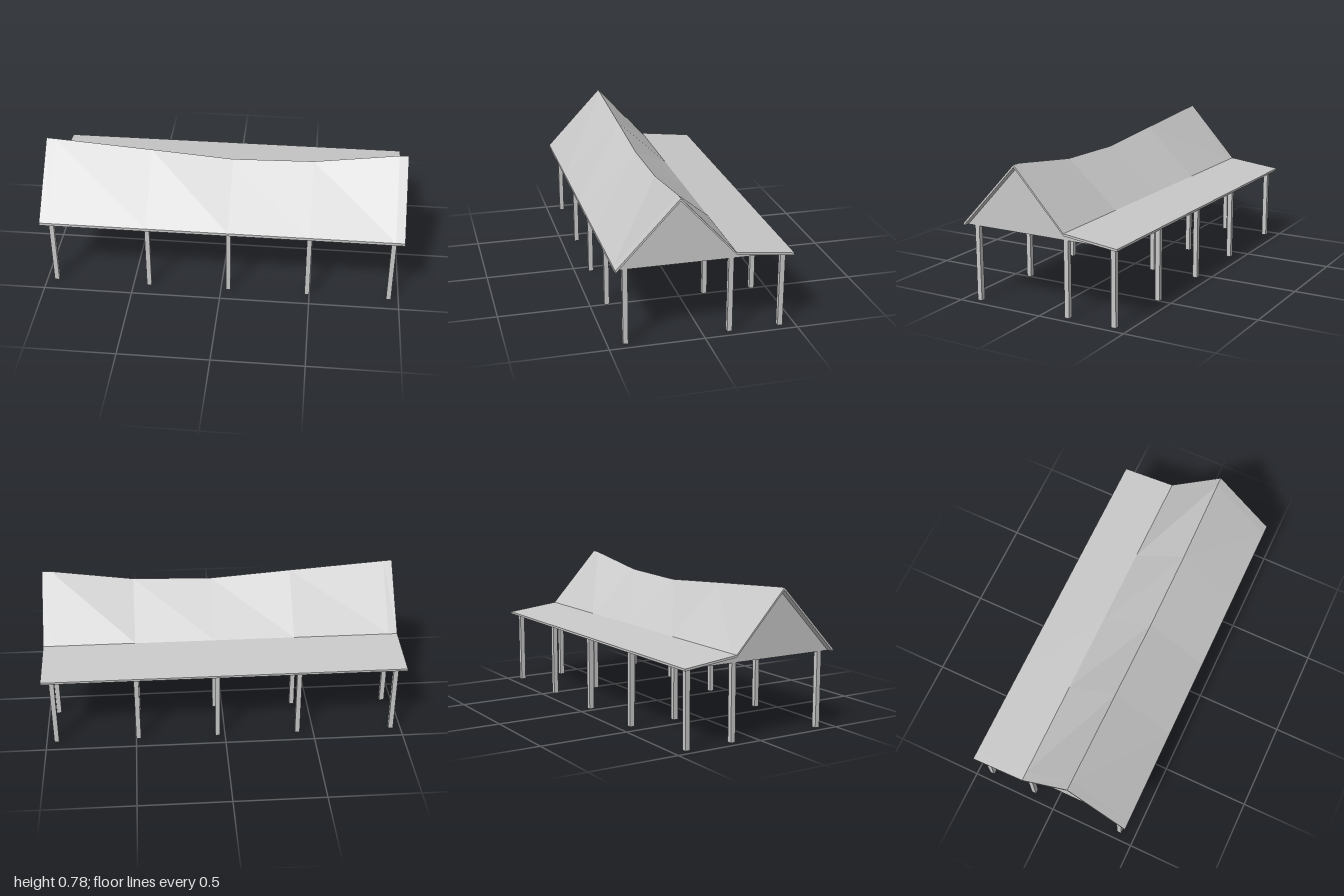
import * as THREE from 'three';

const POST = 0.027;
const POST_X = [-0.945, -0.41, 0.042, 0.487, 0.945];

// Sagging ridge: [x, ridge height]
const STATIONS = [[-1, 0.778], [-0.95, 0.775], [-0.41, 0.735], [0.042, 0.70], [0.487, 0.712], [0.95, 0.777], [1, 0.778]];

// Closed roof section, front eave over the ridge to the back eave, then back underneath
function roofSection([x, h]) {
  return [
    [0.464, 0.43], [0.135, h], [-0.157, 0.461], [-0.464, 0.426],
    [-0.464, 0.414], [-0.157, 0.449], [0.135, h - 0.014], [0.464, 0.414],
  ].map(([z, y]) => [x, y, z]);
}

function roofGeometry() {
  const sections = STATIONS.map(roofSection);
  const pos = [];
  const tri = (a, b, c) => pos.push(...a, ...b, ...c);
  for (let s = 0; s < sections.length - 1; s++) {
    const a = sections[s], b = sections[s + 1];
    for (let i = 0; i < 8; i++) {
      const j = (i + 1) % 8;
      if (i < 4) {
        tri(a[i], b[i], a[j]);
        tri(b[i], b[j], a[j]);
      } else { // underside folds along the same diagonal as the top
        tri(a[i], b[i], b[j]);
        tri(a[i], b[j], a[j]);
      }
    }
  }
  // End edges of the roof
  const left = sections[sections.length - 1], right = sections[0];
  for (let i = 0; i < 3; i++) {
    tri(left[i], left[7 - i], left[6 - i]);
    tri(left[i], left[6 - i], left[i + 1]);
    tri(right[i], right[6 - i], right[7 - i]);
    tri(right[i], right[i + 1], right[6 - i]);
  }
  const g = new THREE.BufferGeometry();
  g.setAttribute('position', new THREE.Float32BufferAttribute(pos, 3));
  g.computeVertexNormals();
  return g;
}

export function createModel() {
  const group = new THREE.Group();
  const grey = new THREE.MeshStandardMaterial({ color: 0xc8c8c8 });
  grey.name = 'grey';

  const add = (name, geometry, x = 0, y = 0, z = 0) => {
    const mesh = new THREE.Mesh(geometry, grey);
    mesh.name = name;
    mesh.position.set(x, y, z);
    group.add(mesh);
    return mesh;
  };

  add('roof', roofGeometry());

  // Three rows of posts
  const rows = [['frontPost', 0.407, 0.43], ['middlePost', -0.1435, 0.44], ['backPost', -0.4185, 0.417]];
  for (const [name, z, height] of rows) {
    for (const x of POST_X) add(name, new THREE.BoxGeometry(POST, height, POST), x, height / 2, z);
  }

  // Tie beams between the inner front and middle posts
  for (const x of POST_X.slice(1, -1)) {
    add('tieBeam', new THREE.BoxGeometry(0.02, 0.015, 0.55), x, 0.4075, 0.132);
  }

  // Flat board under the front eave
  add('eaveBoard', new THREE.BoxGeometry(1.88, 0.006, 0.04), 0, 0.417, 0.44);

  // Rafter pair at the lowest point of the ridge
  for (const [z, y] of [[0.44, 0.425], [-0.15, 0.445]]) {
    const dz = 0.135 - z, dy = 0.68 - y;
    const rafter = add('rafter', new THREE.BoxGeometry(0.02, 0.014, Math.hypot(dz, dy)), 0.042, (y + 0.68) / 2, (z + 0.135) / 2);
    rafter.rotation.x = -Math.atan2(dy, dz);
  }

  // Gable walls closing both ends, let slightly into the roof
  const gable = new THREE.Shape([[0.463, 0.414], [0.463, 0.42], [0.135, 0.768], [-0.157, 0.455], [-0.46, 0.419], [-0.46, 0.414]]
    .map(([z, y]) => new THREE.Vector2(z, y)));
  for (const x of [-0.945, 0.945]) {
    const wall = add('gableWall', new THREE.ExtrudeGeometry(gable, { depth: POST, bevelEnabled: false }), x + POST / 2);
    wall.rotation.y = -Math.PI / 2;
  }
  return group;
}
